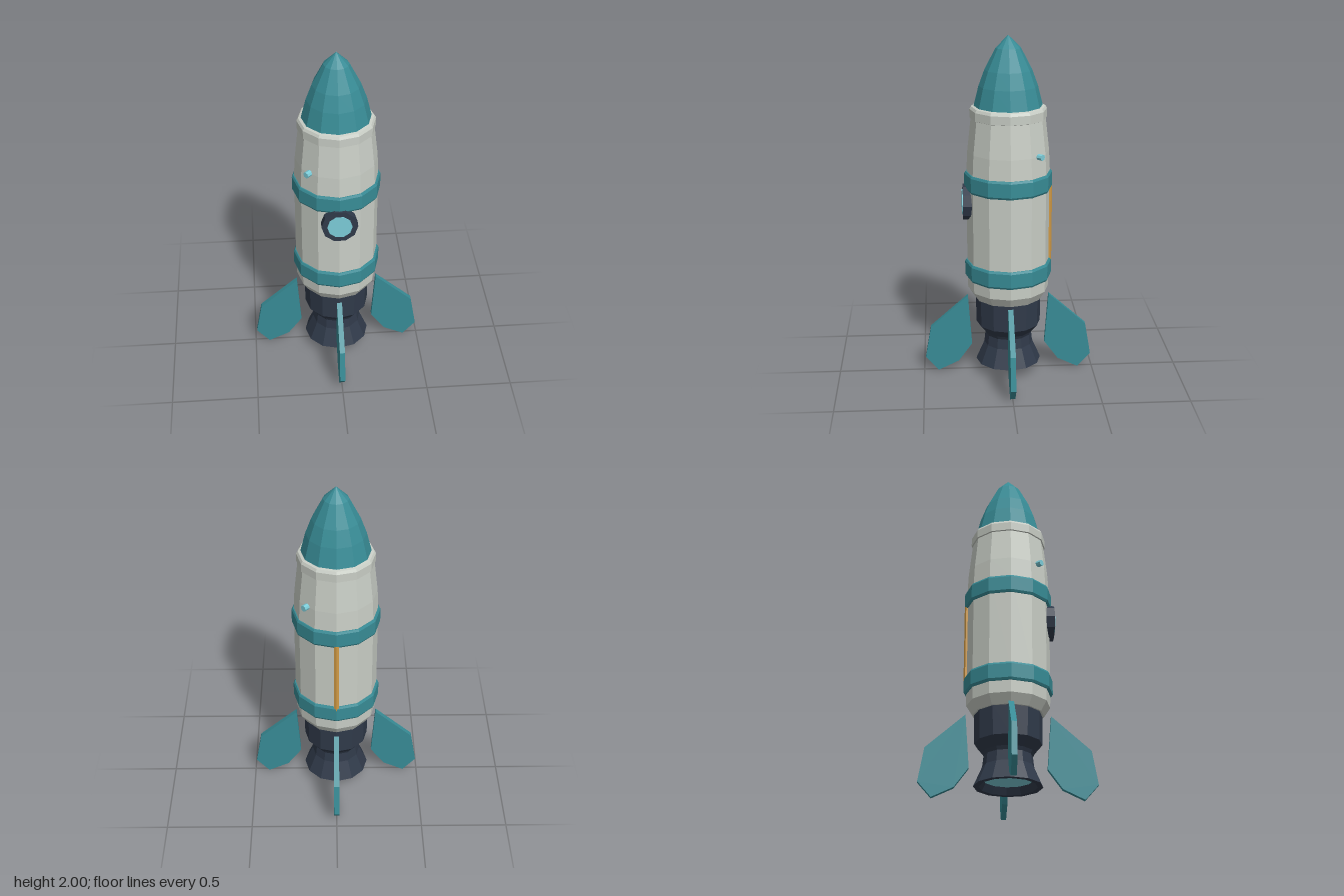
import * as THREE from 'three';

const SIDES = 12;

const paint = (color) => new THREE.MeshStandardMaterial({ color, flatShading: true });

export function createModel() {
  const rocket = new THREE.Group();
  rocket.name = 'rocket';

  const teal = paint(0x388c96);
  const shell = paint(0xc9cec6);
  const dark = paint(0x303a4a);
  const glow = paint(0x7cccd8);
  const brass = paint(0xd09a45);

  const add = (name, geometry, material, parent = rocket) => {
    const mesh = new THREE.Mesh(geometry, material);
    mesh.name = name;
    parent.add(mesh);
    return mesh;
  };

  // Twelve-sided turned part from [radius, height] pairs, listed bottom to top
  const turned = (name, profile, material) =>
    add(name, new THREE.LatheGeometry(profile.map(([r, y]) => new THREE.Vector2(r, y)), SIDES), material);

  // Hull and nose
  turned('hull', [[0, 0.475], [0.2, 0.475], [0.234, 0.53], [0.237, 0.65], [0.237, 1.23],
    [0.231, 1.35], [0.21, 1.54], [0.19, 1.6]], shell);
  turned('noseCollar', [[0.2, 1.535], [0.217, 1.542], [0.217, 1.59], [0.208, 1.605], [0.18, 1.612]], shell);
  turned('noseCone', [[0.193, 1.608], [0.165, 1.72], [0.132, 1.81], [0.07, 1.93], [0, 2]], teal);

  // Bevelled bands around the hull
  for (const [name, y] of [['lowerBand', 0.65], ['upperBand', 1.18]]) {
    turned(name, [[0.225, y - 0.052], [0.243, y - 0.052], [0.25, y - 0.04],
      [0.25, y + 0.04], [0.243, y + 0.052], [0.225, y + 0.052]], teal);
  }

  // Engine housing and flared nozzle with a glowing core
  turned('engine', [[0, 0.24], [0.135, 0.24], [0.145, 0.26], [0.187, 0.31], [0.19, 0.48]], dark);
  turned('nozzle', [[0.135, 0.115], [0.16, 0.07], [0.19, 0.07], [0.142, 0.18], [0.134, 0.25]], dark);
  turned('engineGlow', [[0, 0.11], [0.142, 0.11]], glow);

  // Four fins set around the engine
  const outline = [[0.237, 0.475], [0.215, 0.17], [0.295, 0.06], [0.415, 0.003], [0.49, 0.088], [0.457, 0.28]];
  const finGeometry = new THREE.ExtrudeGeometry(
    new THREE.Shape(outline.map(([x, y]) => new THREE.Vector2(x, y))),
    { depth: 0.03, bevelEnabled: false },
  ).translate(0, 0, -0.015);
  for (let i = 0; i < 4; i++) {
    add(`fin${i + 1}`, finGeometry, teal).rotation.y = (i * Math.PI) / 2;
  }

  // Porthole on the front
  const porthole = new THREE.Group();
  porthole.name = 'porthole';
  porthole.position.set(0, 1.05, 0);
  rocket.add(porthole);
  const disc = (radius, depth, z) =>
    new THREE.CylinderGeometry(radius, radius, depth, 10)
      .rotateY(Math.PI / 2).rotateX(Math.PI / 2).translate(0, 0, z);
  add('portholeFrame', disc(0.102, 0.05, 0.235), dark, porthole);
  add('portholeGlass', disc(0.07, 0.03, 0.25), glow, porthole);

  // Pipe running up the back between the bands
  add('backPipe', new THREE.CylinderGeometry(0.016, 0.016, 0.46, 6), brass).position.set(0, 0.91, -0.235);

  // Small lamps on opposite sides of the upper hull
  const lampGeometry = new THREE.CylinderGeometry(0.018, 0.018, 0.034, 8)
    .rotateX(Math.PI / 2).translate(0, 1.35, 0.237);
  add('frontLamp', lampGeometry, glow).rotation.y = -Math.PI / 4;
  add('backLamp', lampGeometry, glow).rotation.y = (3 * Math.PI) / 4;

  return rocket;
}
